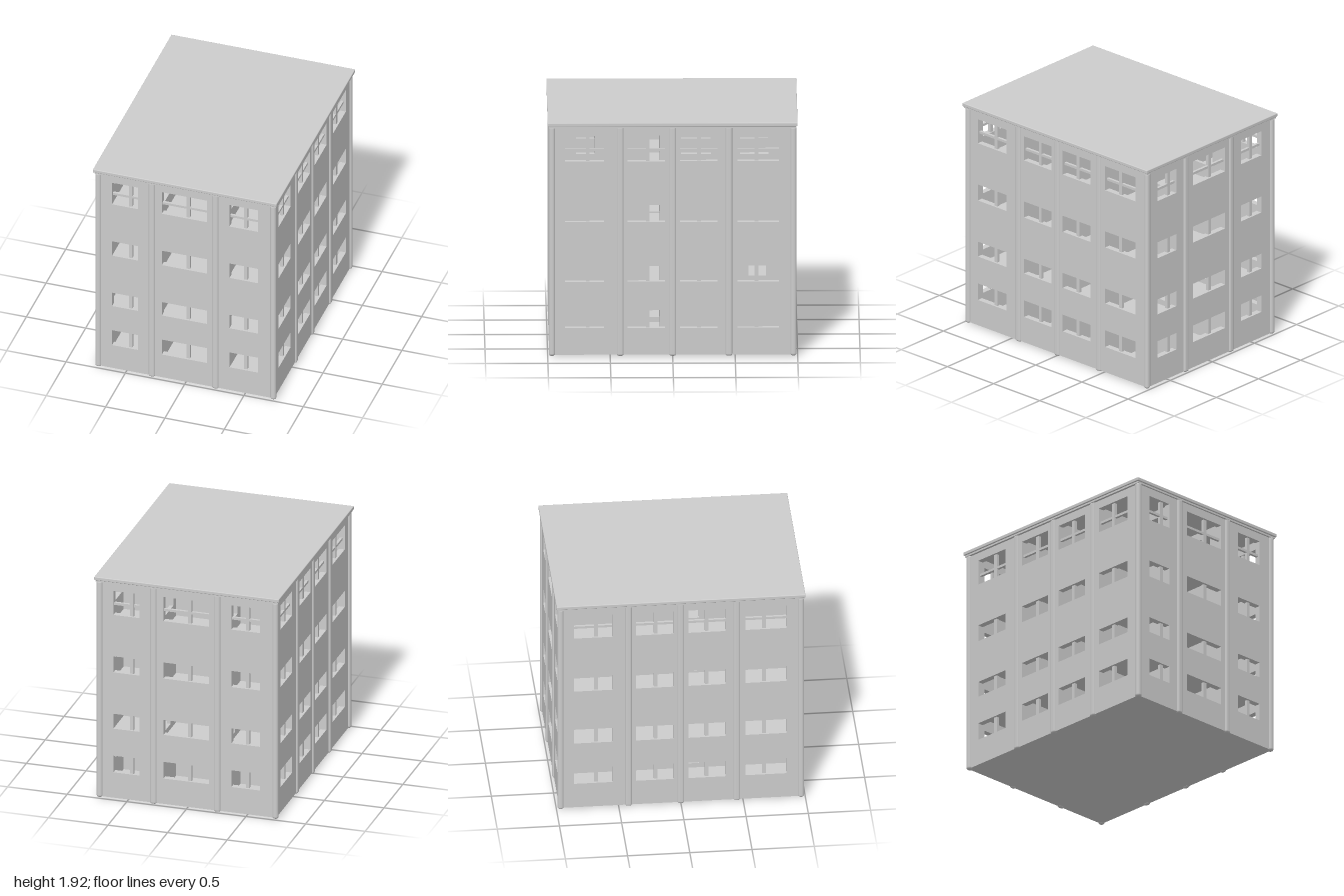
import * as THREE from 'three';
import { RoundedBoxGeometry } from 'three/addons/geometries/RoundedBoxGeometry.js';

const concrete = new THREE.MeshStandardMaterial({ color: 0xcccccc });
concrete.name = 'grey concrete';

const WALL_TOP = 1.89, THICK = 0.05;
const HALF_X = 0.745, HALF_Z = 0.975;

// Window rows: sill, head, optional crossbar height
const ROWS = [[0.23, 0.375], [0.61, 0.74], [1.1, 1.24], [1.6, 1.81, 1.69]];

// Window columns: left edge, right edge, mullion position
const END_COLS = [[-0.62, -0.4, -0.47], [-0.2, 0.18, 0.015], [0.37, 0.61, 0.5]];
const SIDE_COLS = [[-0.86, -0.55, -0.68], [-0.36, -0.06, -0.2], [0.06, 0.36, 0.21], [0.52, 0.85, 0.67]];

function box(parent, name, w, h, d, x, y, z, radius = 0) {
  const geo = radius ? new RoundedBoxGeometry(w, h, d, 3, radius) : new THREE.BoxGeometry(w, h, d);
  const mesh = new THREE.Mesh(geo, concrete);
  mesh.name = name;
  mesh.position.set(x, y, z);
  parent.add(mesh);
}

// Upright wall with rectangular openings [left, right, bottom, top]
function piercedWall(name, half, bottom, top, openings, depth) {
  const shape = new THREE.Shape();
  shape.moveTo(-half, bottom).lineTo(half, bottom).lineTo(half, top).lineTo(-half, top).closePath();
  for (const [l, r, b, t] of openings) {
    const hole = new THREE.Path();
    hole.moveTo(l, b).lineTo(l, t).lineTo(r, t).lineTo(r, b).closePath();
    shape.holes.push(hole);
  }
  const wall = new THREE.Mesh(new THREE.ExtrudeGeometry(shape, { depth, bevelEnabled: false }), concrete);
  wall.name = name;
  return wall;
}

// One facade facing +z, with window holes, frames and pilasters
function facade(name, half, distance, cols, pilasters) {
  const group = new THREE.Group();
  group.name = name;
  const openings = [];
  for (const [sill, head, bar] of ROWS) {
    for (const [l, r, mullion] of cols) {
      openings.push([l, r, sill, head]);
      box(group, 'mullion', 0.03, head - sill, 0.025, mullion, (sill + head) / 2, distance - 0.03);
      if (bar) box(group, 'crossbar', r - l, 0.02, 0.022, (l + r) / 2, bar, distance - 0.03);
    }
  }
  const wall = piercedWall('wall', half, 0.01, WALL_TOP, openings, THICK);
  wall.position.z = distance - THICK;
  group.add(wall);
  for (const x of pilasters) {
    box(group, 'pilaster', 0.055, WALL_TOP, 0.04, x, WALL_TOP / 2, distance - 0.006, 0.018);
  }
  return group;
}

export function createModel() {
  const model = new THREE.Group();
  model.name = 'apartmentBlock';

  // Opposite facades repeat by a half turn
  for (const turn of [0, Math.PI]) {
    const end = facade(turn ? 'backFacade' : 'frontFacade', HALF_X, HALF_Z, END_COLS, [-0.285, 0.25]);
    end.rotation.y = turn;
    const side = facade(turn ? 'rightFacade' : 'leftFacade', HALF_Z - THICK, HALF_X, SIDE_COLS, [-0.42, 0, 0.45]);
    side.rotation.y = turn + Math.PI / 2;
    model.add(end, side);
  }

  // Rounded corner posts
  for (const sx of [-1, 1]) {
    for (const sz of [-1, 1]) {
      box(model, 'cornerPost', 0.05, WALL_TOP, 0.05, sx * 0.737, WALL_TOP / 2, sz * 0.966, 0.022);
    }
  }

  // Roof slab and a narrower lip beneath it
  box(model, 'roof', 1.55, 0.03, 2, 0, 1.907, 0, 0.006);
  box(model, 'roofLip', 1.53, 0.015, 1.98, 0, 1.885, 0);

  // Floor slabs
  const innerX = 2 * (HALF_X - THICK), innerZ = 2 * (HALF_Z - THICK);
  for (const y of [0.025, 0.49, 0.92, 1.42]) {
    box(model, 'floor', innerX, 0.03, innerZ, 0, y, 0);
  }

  // Cross walls between bays
  for (const z of [-0.45, 0, 0.43]) {
    box(model, 'crossWall', innerX, 1.86, 0.03, 0, 0.95, z);
  }

  // Corridor walls with a doorway on every storey and wider openings at the top
  const doors = [
    ...ROWS.map(([sill, head]) => [-0.19, -0.1, sill - 0.15, head]),
    [-0.77, -0.62, 1.55, 1.81], [0.07, 0.31, 1.55, 1.81], [0.54, 0.77, 1.55, 1.81],
    [0.61, 0.75, 0.55, 0.74],
  ];
  for (const x of [-0.285, 0.255]) {
    const wall = piercedWall('corridorWall', HALF_Z - THICK, 0.02, 1.88, doors, 0.03);
    wall.rotation.y = Math.PI / 2;
    wall.position.x = x;
    model.add(wall);
  }
  return model;
}
